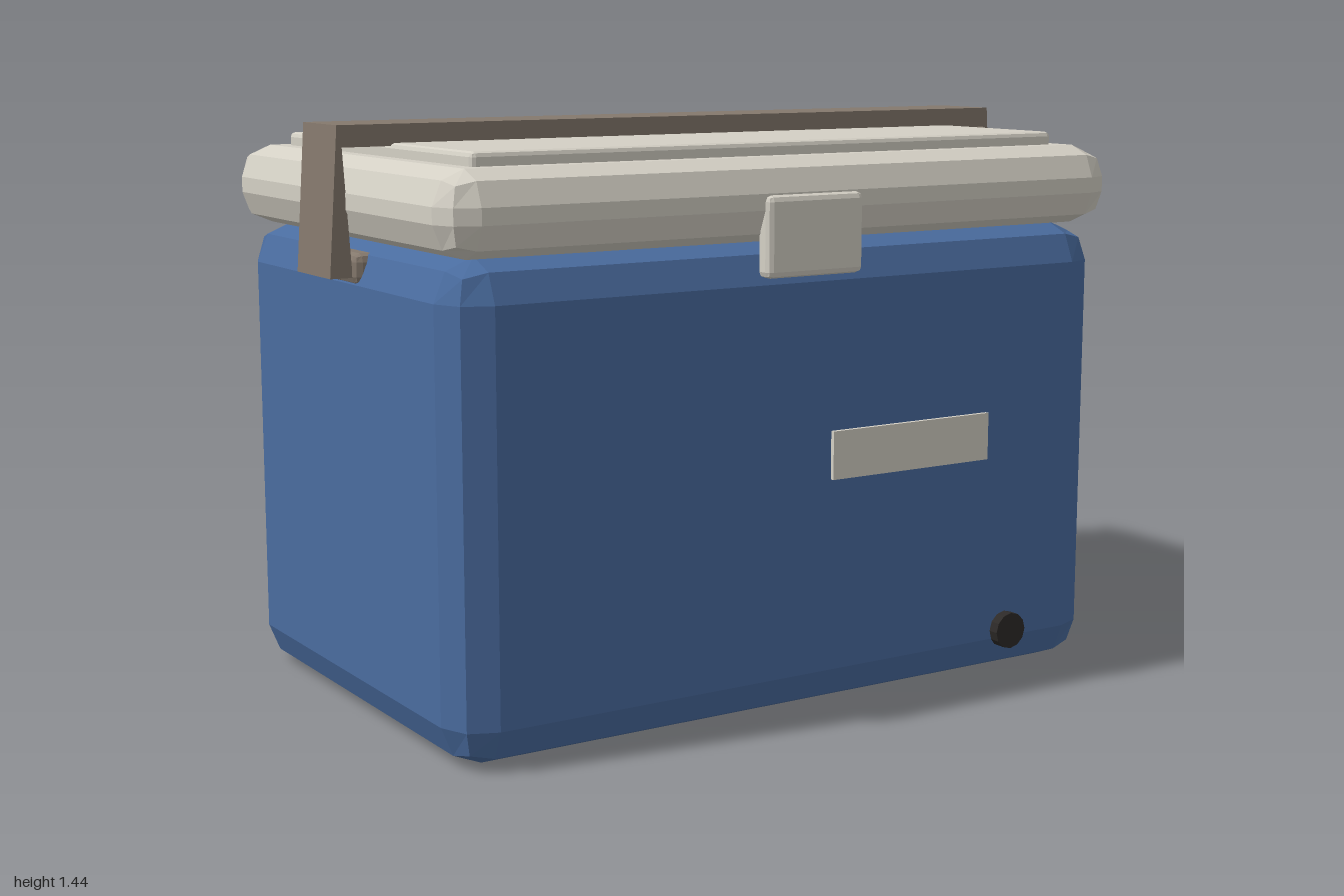
import * as THREE from 'three';
import { RoundedBoxGeometry } from 'three/addons/geometries/RoundedBoxGeometry.js';

const ZC = -0.0075; // depth centre of the main box

const material = (color) => new THREE.MeshStandardMaterial({ color, flatShading: true });

export function createModel() {
  const blue = material(0x4a6c9f);
  const cream = material(0xd4d0c5);
  const brown = material(0x85796d);
  const black = material(0x2d2a28);

  const model = new THREE.Group();
  model.name = 'coolBox';

  const add = (name, geometry, mat, x = 0, y = 0, z = 0) => {
    const mesh = new THREE.Mesh(geometry, mat);
    mesh.name = name;
    mesh.position.set(x, y, z);
    model.add(mesh);
    return mesh;
  };

  // Box with bevelled edges given by its limits
  const block = (name, mat, [x0, x1], [y0, y1], [z0, z1], radius) =>
    add(name, new RoundedBoxGeometry(x1 - x0, y1 - y0, z1 - z0, 1, radius), mat,
      (x0 + x1) / 2, (y0 + y1) / 2, (z0 + z1) / 2);

  // Main tub, lid and raised lid panel
  block('body', blue, [-0.937, 0.937], [0, 1.167], [-0.62, 0.605], 0.1);
  block('lid', cream, [-0.957, 0.957], [1.165, 1.364], [-0.641, 0.626], 0.08);
  block('lidPanel', cream, [-0.84, 0.84], [1.34, 1.397], [-0.523, 0.507], 0.012);

  // Front latch, label plate and drain plug
  block('latch', cream, [-0.138, 0.138], [1.085, 1.28], [0.591, 0.641], 0.015);
  add('labelPlate', new THREE.BoxGeometry(0.485, 0.12, 0.02), cream, 0.317, 0.64, 0.606);
  const plug = add('drainPlug', new THREE.CylinderGeometry(0.047, 0.047, 0.05, 12), black, 0.637, 0.122, 0.608);
  plug.rotation.x = Math.PI / 2;

  // Carrying handle: one arch with legs that splay and thicken downwards
  const half = [[0.963, 1.39], [0.943, 1.085], [1.0, 1.085], [0.975, 1.442]];
  const outline = [
    ...half,
    ...half.map(([x, y]) => [-x, y]).reverse(),
  ].map(([x, y]) => new THREE.Vector2(x, y));
  const width = 0.195;
  const arch = new THREE.ExtrudeGeometry(new THREE.Shape(outline), { depth: width, bevelEnabled: false });
  add('handle', arch, brown, 0, 0, ZC - width / 2);

  // Handle pivots on both sides
  for (const side of [1, -1]) {
    const pivot = block(side > 0 ? 'leftPivot' : 'rightPivot', brown,
      [0.87, 0.945], [1.067, 1.142], [ZC - 0.117, ZC + 0.117], 0.02);
    pivot.position.x *= side;
  }

  return model;
}
